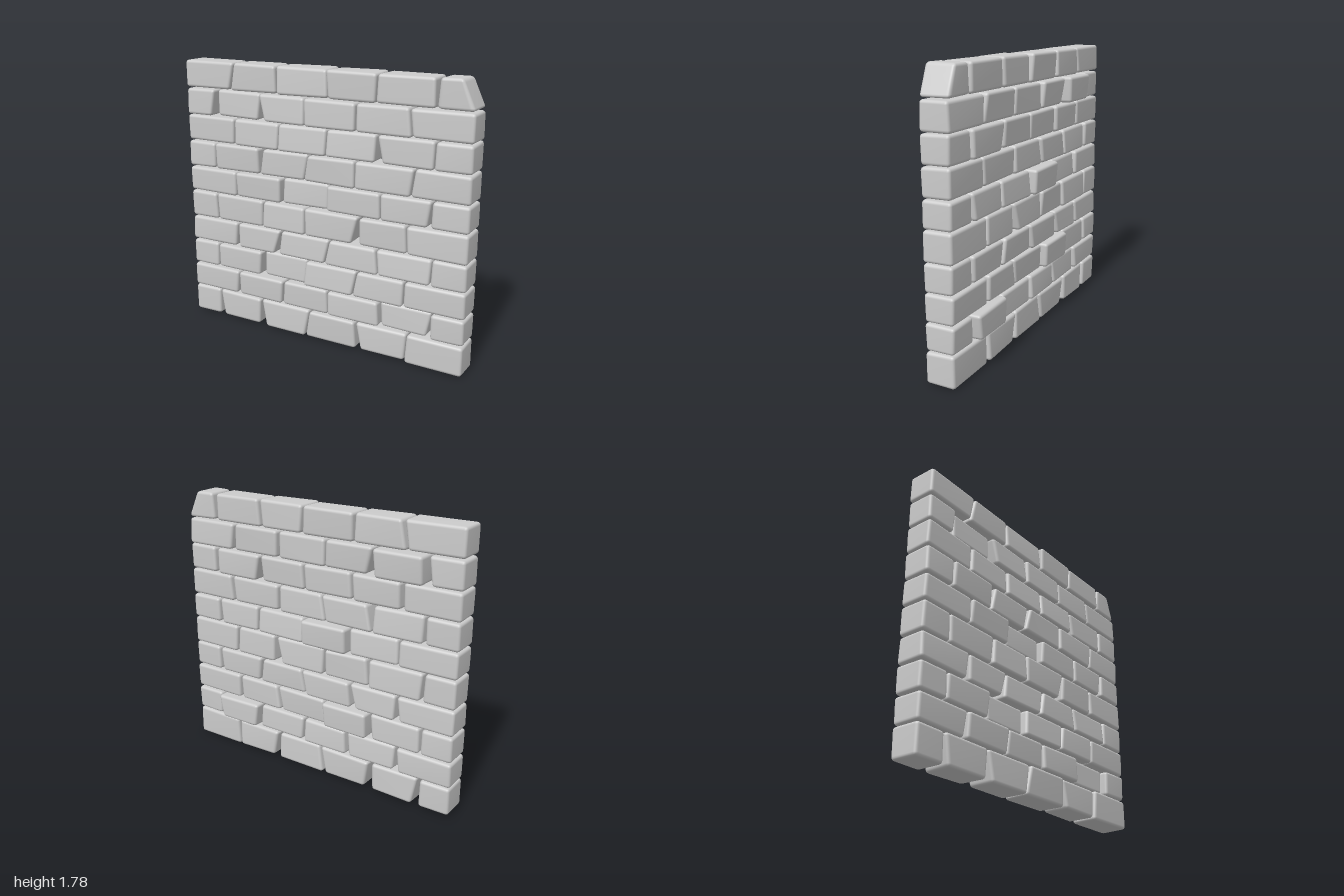
import * as THREE from 'three';
import { RoundedBoxGeometry } from 'three/addons/geometries/RoundedBoxGeometry.js';
import { mergeVertices } from 'three/addons/utils/BufferGeometryUtils.js';

// Courses from the ground up: lower and upper height, index of the stone pushed back,
// and joints as [x at bottom, x at top, wedge gap (+ opens downward, - opens upward)]
const courses = [
  { y: [0.0, 0.2], joints: [[-0.775, -0.79, 0.03], [-0.43, -0.445, 0.05], [-0.095, -0.06], [0.3, 0.275, 0.03], [0.62, 0.635]] },
  { y: [0.2, 0.368], back: 4, joints: [[-0.63, -0.62, 0.02], [-0.275, -0.26], [0.075, 0.07], [0.445, 0.435], [0.77, 0.785, 0.03]] },
  { y: [0.37, 0.543], back: 2, joints: [[-0.79, -0.79], [-0.435, -0.43, 0.02], [-0.105, -0.09], [0.255, 0.285], [0.605, 0.61]] },
  { y: [0.545, 0.715], joints: [[-0.625, -0.62, 0.02], [-0.315, -0.28, 0.03], [0.05, 0.085], [0.43, 0.41], [0.775, 0.78]] },
  { y: [0.717, 0.9], joints: [[-0.78, -0.79], [-0.42, -0.41], [-0.09, -0.095], [0.27, 0.295, 0.045], [0.62, 0.61]] },
  { y: [0.902, 1.072], back: 2, joints: [[-0.62, -0.62], [-0.275, -0.27], [0.065, 0.07], [0.44, 0.435], [0.755, 0.77, 0.02]] },
  { y: [1.075, 1.25], joints: [[-0.78, -0.78], [-0.435, -0.42, -0.03], [-0.1, -0.065], [0.265, 0.265], [0.63, 0.655]] },
  { y: [1.25, 1.425], joints: [[-0.63, -0.625], [-0.29, -0.285], [0.06, 0.065], [0.42, 0.405, 0.04], [0.77, 0.775]] },
  { y: [1.425, 1.602], back: 1, joints: [[-0.785, -0.775, 0.03], [-0.42, -0.435, 0.06], [-0.09, -0.095], [0.265, 0.265], [0.63, 0.61]] },
  { y: [1.605, 1.785], end: [1, 0.92], joints: [[-0.65, -0.615], [-0.295, -0.3], [0.075, 0.065], [0.395, 0.405], [0.77, 0.775, -0.02]] },
];

let seed = 7;
const jitter = (a) => {
  seed = (seed * 16807) % 2147483647;
  return (seed / 2147483647 - 0.5) * 2 * a;
};

// Rounded block whose eight corners are moved to the given points;
// corner index = x + 2 * y + 4 * z, each 0 or 1
function stoneGeometry(corners) {
  const [a, b] = [corners[0], corners[7]];
  const size = [b.x - a.x, b.y - a.y, b.z - a.z];
  let geo = new RoundedBoxGeometry(...size, 2, 0.02);
  geo.deleteAttribute('normal');
  geo.deleteAttribute('uv');
  geo = mergeVertices(geo, 1e-5);
  const pos = geo.attributes.position;
  const p = new THREE.Vector3();
  for (let i = 0; i < pos.count; i++) {
    const t = [pos.getX(i), pos.getY(i), pos.getZ(i)].map((v, k) => v / size[k] + 0.5);
    p.set(0, 0, 0);
    corners.forEach((c, n) => {
      const weight = t.reduce((w, v, k) => w * ((n >> k) & 1 ? v : 1 - v), 1);
      p.addScaledVector(c, weight);
    });
    pos.setXYZ(i, p.x, p.y, p.z);
  }
  geo.computeVertexNormals();
  return geo;
}

export function createModel() {
  const wall = new THREE.Group();
  wall.name = 'stoneWall';
  const material = new THREE.MeshStandardMaterial({ color: 0xcccccc });

  courses.forEach(({ y, joints, back, end = [1, 1] }, row) => {
    const course = new THREE.Group();
    course.name = `course${row + 1}`;
    wall.add(course);
    const edges = [[-1, -1], ...joints, end];

    for (let i = 0; i < edges.length - 1; i++) {
      // Stones at the wall ends stay square; inner ones shift and lean slightly
      const outer = i === 0 || i === edges.length - 2;
      const shift = i === back ? -0.033 : outer ? 0 : jitter(0.006);
      const lean = outer ? 0 : jitter(0.006);
      const corners = [];
      for (let n = 0; n < 8; n++) {
        const [right, top, front] = [n & 1, (n >> 1) & 1, n >> 2];
        const [bottomX, topX, wedge = 0] = edges[i + right];
        const isEnd = right ? i === edges.length - 2 : i === 0;
        const opens = top ? Math.max(-wedge, 0) : Math.max(wedge, 0);
        const gap = isEnd ? 0 : 0.003 + opens / 2 + (front ? 0 : 0.006 + jitter(0.006));
        const x = (top ? topX : bottomX) + (right ? -gap : gap);
        const inset = Math.abs(jitter(0.006)) + (row === 0 && !top && i < 5 ? 0.01 : 0);
        const z = (front ? 0.107 : -0.078) + shift + (top ? -lean : lean) + jitter(0.005);
        corners.push(new THREE.Vector3(x, y[top] + (top ? -inset : inset), z));
      }
      const stone = new THREE.Mesh(stoneGeometry(corners), material);
      stone.name = `stone${row + 1}_${i + 1}`;
      course.add(stone);
    }
  });
  return wall;
}
